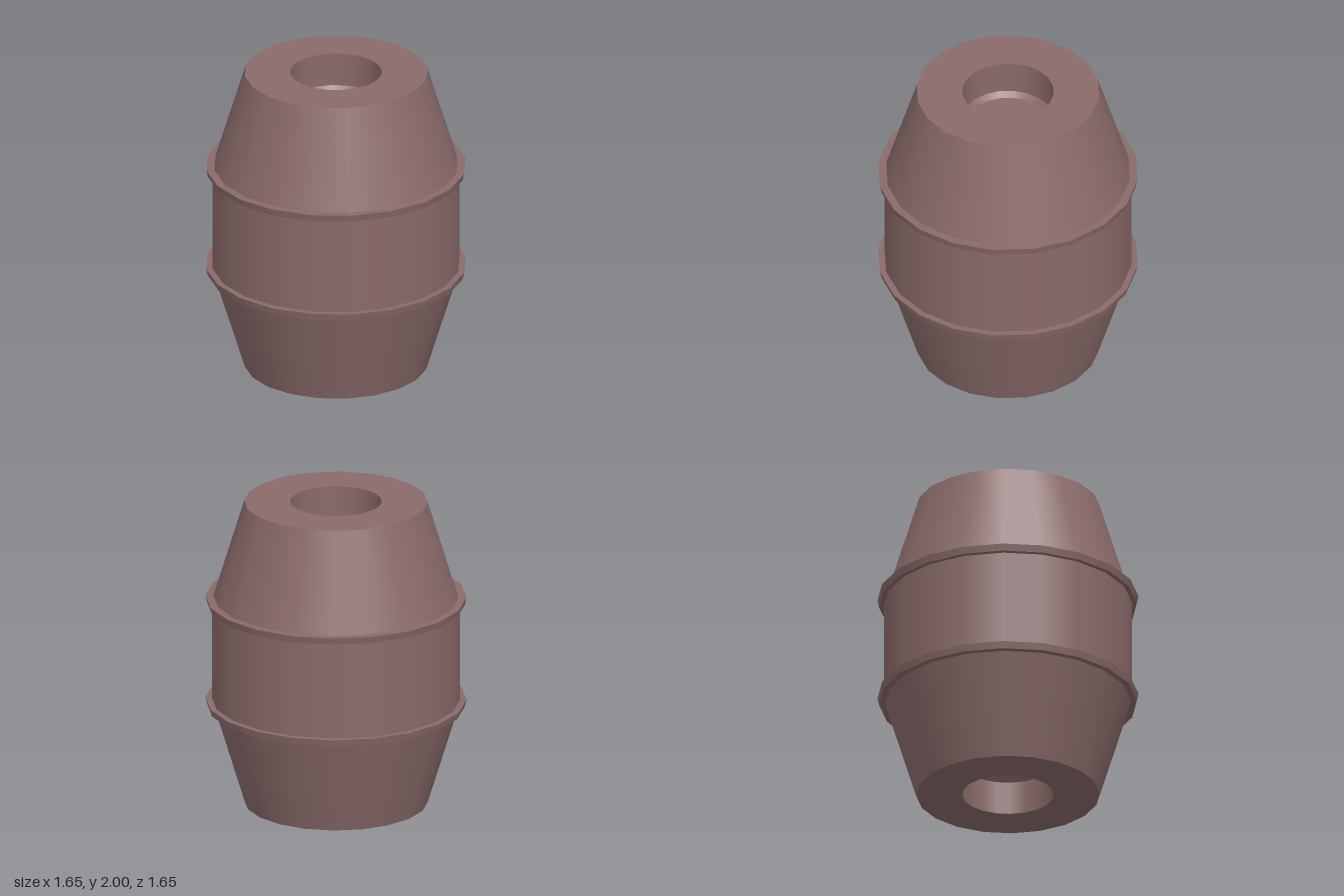
import * as THREE from 'three';
import { mergeGeometries } from 'three/addons/utils/BufferGeometryUtils.js';

const SIDES = 20;
const material = new THREE.MeshStandardMaterial({ color: 0x8a6a6a });

// Turns a profile of [radius, y] points: smooth around, sharp between bands.
function turned(name, profile) {
  const bands = [];
  for (let i = 0; i < profile.length - 1; i++) {
    const ends = [profile[i], profile[i + 1]].map(([r, y]) => new THREE.Vector2(r, y));
    bands.push(new THREE.LatheGeometry(ends, SIDES));
  }
  const mesh = new THREE.Mesh(mergeGeometries(bands), material);
  mesh.name = name;
  return mesh;
}

export function createModel() {
  const group = new THREE.Group();
  group.name = 'barrel';

  // Lower half of the body: recess floor, chamfer, recess wall, end face, taper
  const lower = [[0, 0.25], [0.26, 0.25], [0.29, 0.217], [0.29, 0], [0.58, 0], [0.785, 0.67]];
  const upper = lower.map(([r, y]) => [r, 2 - y]).reverse();
  group.add(turned('body', [...lower, ...upper]));

  // Hoops, slightly wider at their top edge
  for (const [name, y] of [['lowerHoop', 0.64], ['upperHoop', 1.32]]) {
    group.add(turned(name, [[0.77, y], [0.815, y], [0.825, y + 0.045], [0.77, y + 0.045]]));
  }
  return group;
}
